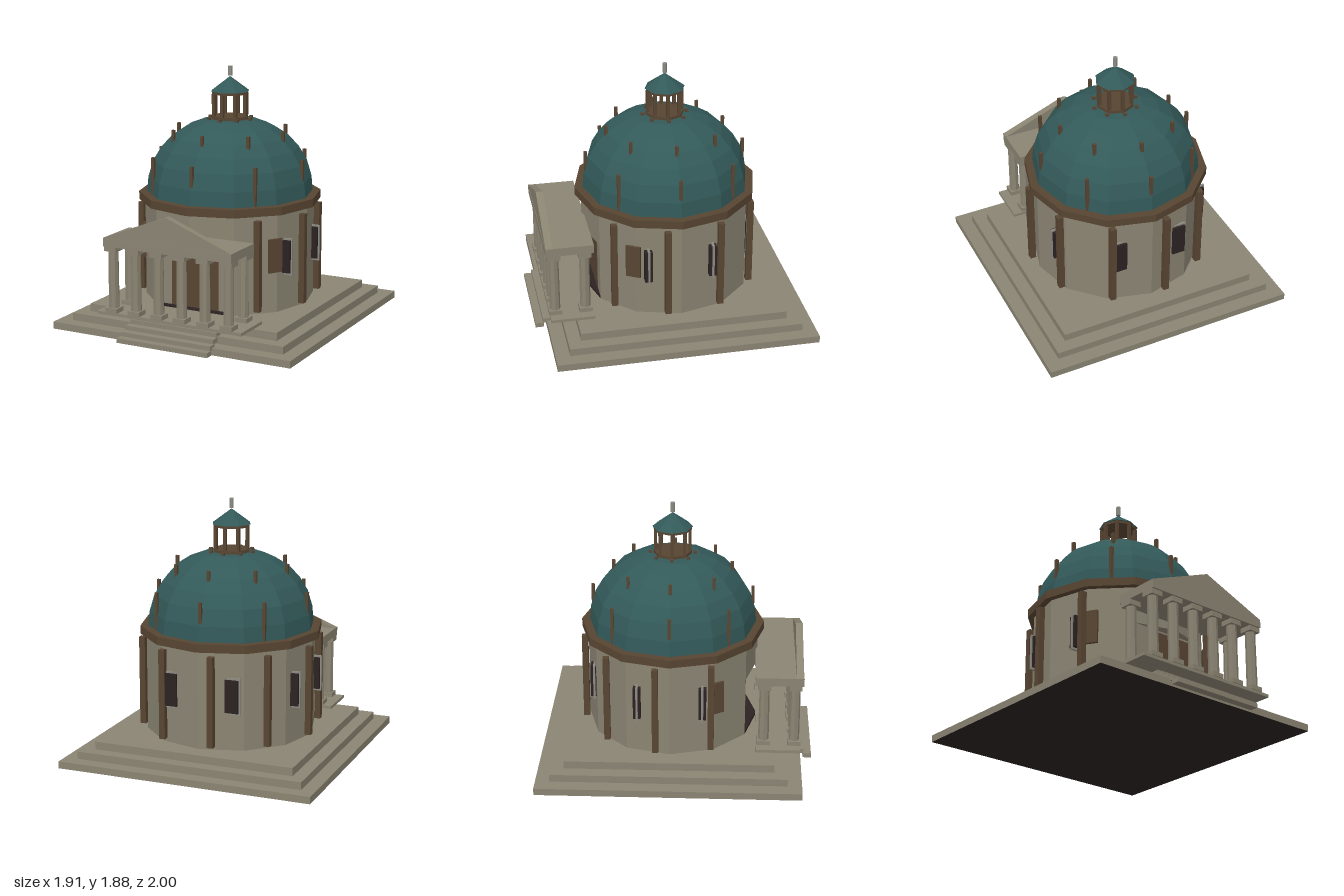
import * as THREE from 'three';

const CZ = -0.042; // z of the rotunda's axis

export function createModel() {
  const model = new THREE.Group();
  model.name = 'domedRotunda';
  const mat = (name, color) => {
    const m = new THREE.MeshStandardMaterial({ color });
    m.name = name;
    return m;
  };
  const stone = mat('stone', 0x8a8472);
  const trim = mat('paleTrim', 0x8b8a82);
  const bronze = mat('brownMetal', 0x584532);
  const copper = mat('tealCopper', 0x335959);
  const dark = mat('darkGlass', 0x2c2222);

  const add = (name, geo, material, x = 0, y = 0, z = 0) => {
    const mesh = new THREE.Mesh(geo, material);
    mesh.name = name;
    mesh.position.set(x, y, z);
    model.add(mesh);
    return mesh;
  };
  // Box spanning y0..y1, centred on x and z
  const box = (name, m, w, d, y0, y1, x = 0, z = 0) =>
    add(name, new THREE.BoxGeometry(w, y1 - y0, d), m, x, (y0 + y1) / 2, z);
  const flat = (geo) => {
    const g = geo.toNonIndexed();
    g.computeVertexNormals();
    return g;
  };
  // Faceted drum spanning y0..y1
  const drum = (name, m, r0, r1, sides, y0, y1, x = 0, z = CZ) =>
    add(name, flat(new THREE.CylinderGeometry(r1, r0, y1 - y0, sides)), m, x, (y0 + y1) / 2, z);
  // Upright prism over a plan given as [x, z] points
  const prism = (name, m, plan, y0, y1) => {
    const shape = new THREE.Shape(plan.map(([x, z]) => new THREE.Vector2(x, -z)));
    const geo = new THREE.ExtrudeGeometry(shape, { depth: y1 - y0, bevelEnabled: false });
    geo.rotateX(-Math.PI / 2);
    return add(name, geo, m, 0, y0, CZ);
  };
  const polar = (deg, r) => {
    const a = THREE.MathUtils.degToRad(deg);
    return [r * Math.sin(a), r * Math.cos(a)];
  };

  // Stepped square base with a dark underside (the box's -y face)
  box('basePlinth', [stone, stone, stone, dark, stone, stone], 1.915, 1.917, 0, 0.052, 0, -0.0415);
  box('middlePlinth', stone, 1.71, 1.71, 0.052, 0.107, 0, CZ);
  box('upperPlinth', stone, 1.52, 1.52, 0.107, 0.165, 0, CZ);

  // Front stairs
  for (let i = 0; i < 5; i++) {
    box('stairTread', stone, 0.73 - i * 0.01, 0.062, 0.005 + i * 0.032, 0.039 + i * 0.032,
      0, 0.969 - i * 0.0555);
  }

  // Twelve-sided wall, its lower front corner cut back to a flat entrance
  const plan = [];
  for (let i = 1; i <= 11; i++) plan.push(polar(i * 30, 0.63));
  prism('lowerWall', stone, plan, 0.165, 0.62);
  prism('upperWall', stone, [polar(0, 0.63), ...plan], 0.62, 0.89);
  prism('entranceFloor', dark, [polar(0, 0.63), plan[0], plan[10]], 0.165, 0.184);
  box('entranceDoor', bronze, 0.38, 0.006, 0.184, 0.605, 0, 0.503);
  drum('cornice', bronze, 0.676, 0.676, 12, 0.89, 0.95);

  // Pilasters round the wall, leaving the entrance free
  for (let i = 0; i < 8; i++) {
    const [x, z] = polar(45 + i * 36, 0.655);
    box('pilaster', bronze, 0.045, 0.045, 0.195, 0.86, x, z + CZ);
  }

  // Windows: thin pale frame with a dark block through it
  for (let i = 0; i < 6; i++) {
    const [x, z] = polar(67.5 + i * 45, 0.615);
    box('windowFrame', trim, 0.12, 0.016, 0.43, 0.7, x, z + CZ);
    box('windowPane', dark, 0.1, 0.055, 0.447, 0.687, x, z + CZ);
  }

  // Side panels flanking the portico
  for (const s of [-1, 1]) {
    const [x, z] = polar(s * 58, 0.636);
    box('sidePanel', bronze, 0.11, 0.02, 0.465, 0.712, x, z + CZ).rotation.y = s * Math.PI / 3;
  }

  // Portico
  box('porticoFloor', stone, 1.16, 0.32, 0.165, 0.187, 0, 0.745);
  const column = (x, z) => {
    box('columnBase', stone, 0.095, 0.095, 0.187, 0.22, x, z);
    drum('columnShaft', stone, 0.039, 0.037, 8, 0.22, 0.638, x, z);
    box('columnCapital', stone, 0.095, 0.095, 0.638, 0.675, x, z);
  };
  for (let i = 0; i < 6; i++) column(-0.4625 + i * 0.185, 0.863);
  for (const s of [-1, 1]) column(s * 0.4625, 0.64);
  box('entablature', stone, 1.02, 0.35, 0.675, 0.738, 0, 0.748);
  const gable = new THREE.Shape([
    new THREE.Vector2(-0.51, 0), new THREE.Vector2(0.51, 0), new THREE.Vector2(0, 0.2),
  ]);
  add('pediment', new THREE.ExtrudeGeometry(gable, { depth: 0.052, bevelEnabled: false }),
    stone, 0, 0.738, 0.868);

  // Faceted dome
  const profile = [[0.617, 0.95], [0.606, 1.06], [0.57, 1.18], [0.51, 1.28],
    [0.43, 1.368], [0.325, 1.436], [0.2, 1.484], [0, 1.498]];
  add('dome', flat(new THREE.LatheGeometry(
    profile.map(([r, y]) => new THREE.Vector2(r, y)), 12)), copper, 0, 0, CZ);

  // Three rings of upright ribs on the dome
  for (const [r, y0, y1] of [[0.588, 0.95, 1.23], [0.433, 1.28, 1.425], [0.163, 1.43, 1.505]]) {
    for (let i = 0; i < 8; i++) {
      const [x, z] = polar(i * 45, r);
      box('domeRib', bronze, 0.023, 0.023, y0, y1, x, z + CZ);
    }
  }

  // Lantern with open posts, roof and finial
  drum('lanternFloor', bronze, 0.14, 0.14, 8, 1.49, 1.512);
  for (let i = 0; i < 8; i++) {
    const [x, z] = polar(i * 45, 0.125);
    box('lanternPost', bronze, 0.023, 0.023, 1.51, 1.678, x, z + CZ);
  }
  drum('lanternCornice', bronze, 0.138, 0.138, 8, 1.675, 1.695);
  drum('lanternRoof', copper, 0.147, 0.002, 8, 1.695, 1.803);
  drum('finial', trim, 0.017, 0.017, 8, 1.808, 1.88);

  return model;
}
